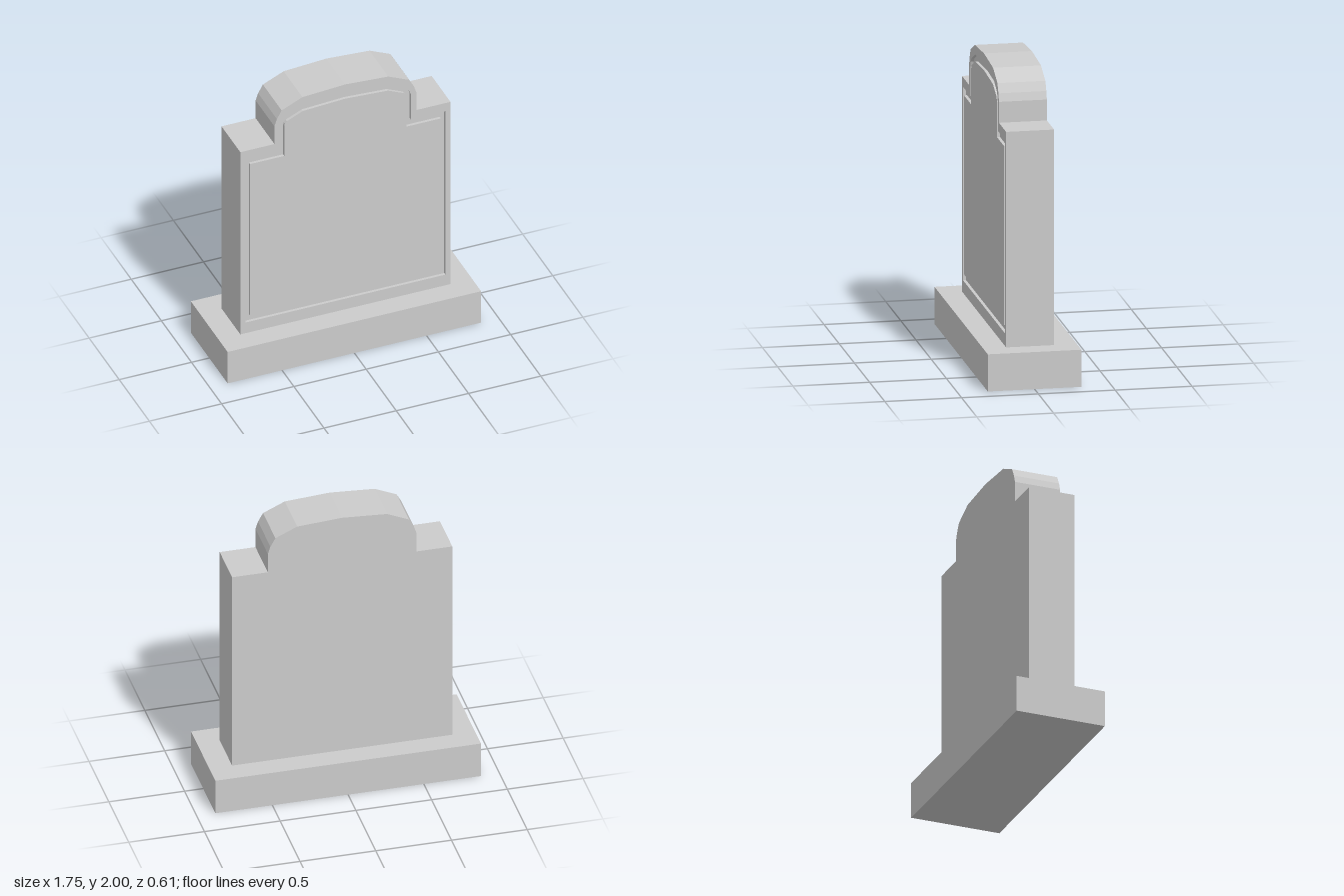
import * as THREE from 'three';

const BASE_H = 0.245;
const BACK = -0.156, FLOOR = 0.136, FRONT = 0.156;

// Right half of each outline, from the bottom corner up to the crown.
const STONE = [[0.727, BASE_H], [0.727, 1.667], [0.491, 1.667], [0.491, 1.805],
  [0.474, 1.857], [0.441, 1.916], [0.297, 1.981], [0, 2]];
const GROOVE = [[0.692, 0.328], [0.692, 1.604], [0.453, 1.604], [0.453, 1.8],
  [0.441, 1.833], [0.415, 1.862], [0.294, 1.919], [0, 1.939]];
const PANEL = [[0.66, 0.375], [0.66, 1.556], [0.423, 1.556], [0.423, 1.788],
  [0.419, 1.806], [0.405, 1.822], [0.294, 1.872], [0, 1.889]];

// Mirrors a half outline into a closed loop of points.
function mirrored(half) {
  const left = half.slice(0, -1).reverse().map(([x, y]) => [-x, y]);
  return [...half, ...left].map(([x, y]) => new THREE.Vector2(x, y));
}

export function createModel() {
  const group = new THREE.Group();
  const material = new THREE.MeshStandardMaterial({ color: 0xcccccc, flatShading: true });

  const add = (name, geometry) => {
    const mesh = new THREE.Mesh(geometry, material);
    mesh.name = name;
    group.add(mesh);
    return mesh;
  };

  // Extrudes an outline between two depths, optionally with a hole.
  const slab = (name, outline, z0, z1, hole) => {
    const shape = new THREE.Shape(mirrored(outline));
    if (hole) shape.holes.push(new THREE.Path(mirrored(hole)));
    const geometry = new THREE.ExtrudeGeometry(shape, { depth: z1 - z0, bevelEnabled: false });
    add(name, geometry.translate(0, 0, z0));
  };

  // Plinth
  add('plinth', new THREE.BoxGeometry(1.754, BASE_H, 0.61)).position.y = BASE_H / 2;

  // Headstone: solid body, with a rim and a raised panel leaving a groove between them
  slab('headstoneBody', STONE, BACK, FLOOR);
  slab('frontRim', STONE, FLOOR, FRONT, GROOVE);
  slab('frontPanel', PANEL, FLOOR, FRONT);

  return group;
}
